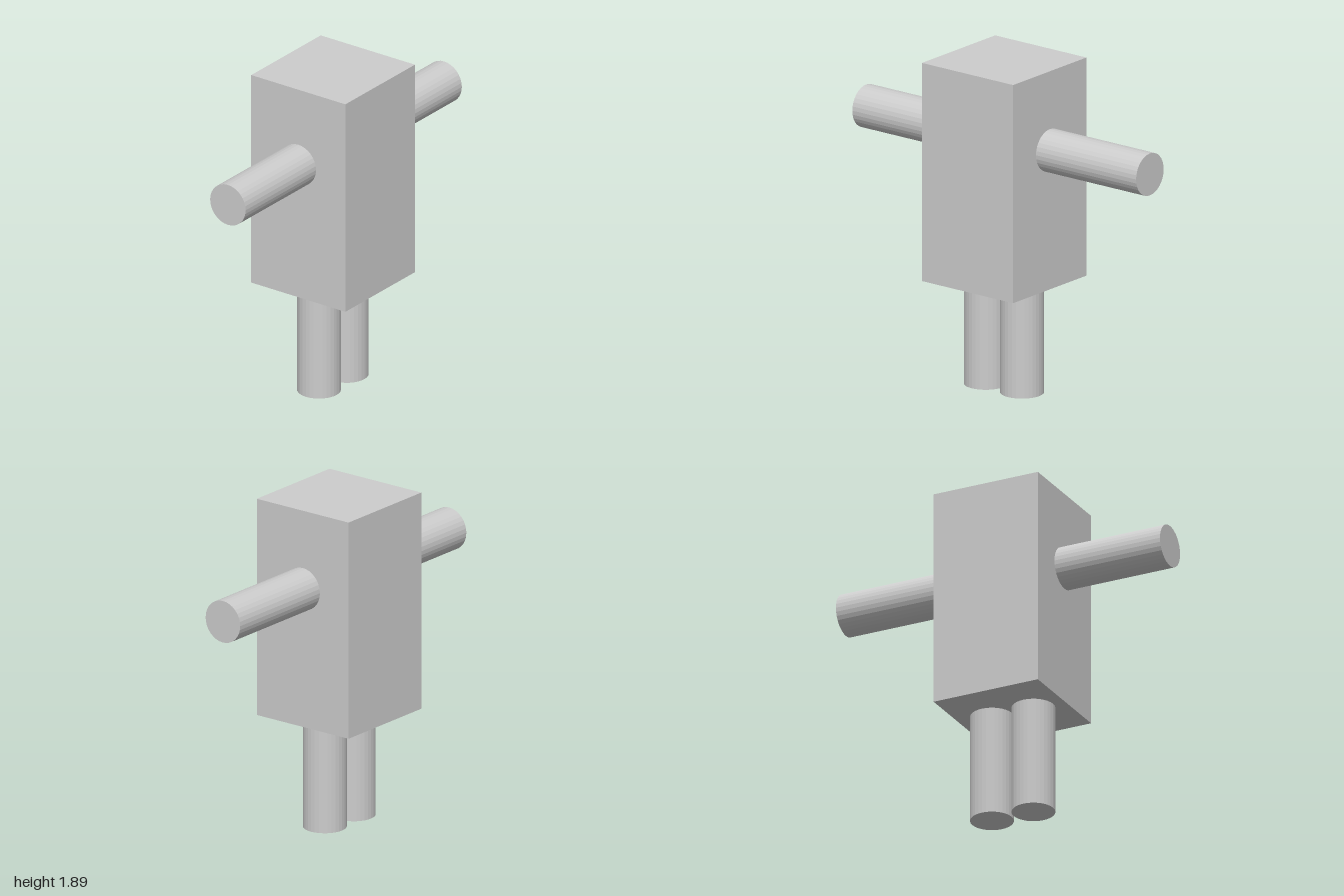
import * as THREE from 'three';

export function createModel() {
  const model = new THREE.Group();
  const grey = new THREE.MeshStandardMaterial({ color: 0xcccccc, flatShading: true });
  grey.name = 'light grey';

  const bodyX = -0.027, bodyWidth = 0.643, bodyBottom = 0.63, bodyTop = 1.887;
  const limbRadius = 0.121;

  const add = (name, geometry, x, y, z = 0) => {
    const mesh = new THREE.Mesh(geometry, grey);
    mesh.name = name;
    mesh.position.set(x, y, z);
    model.add(mesh);
    return mesh;
  };
  const limb = (length) => new THREE.CylinderGeometry(limbRadius, limbRadius, length, 32);

  // Block body
  const bodyHeight = bodyTop - bodyBottom;
  add('body', new THREE.BoxGeometry(bodyWidth, bodyHeight, 0.643), bodyX, bodyBottom + bodyHeight / 2);

  for (const [side, s] of [['left', 1], ['right', -1]]) {
    // Arm reaching from the body's side to x = +-1
    const shoulder = bodyX + s * bodyWidth / 2;
    const arm = add(side + 'Arm', limb(Math.abs(s - shoulder)), (s + shoulder) / 2, 1.433);
    arm.rotation.z = Math.PI / 2;

    // Leg standing on the ground
    add(side + 'Leg', limb(bodyBottom), bodyX - 0.002 + s * 0.128, bodyBottom / 2);
  }
  return model;
}
